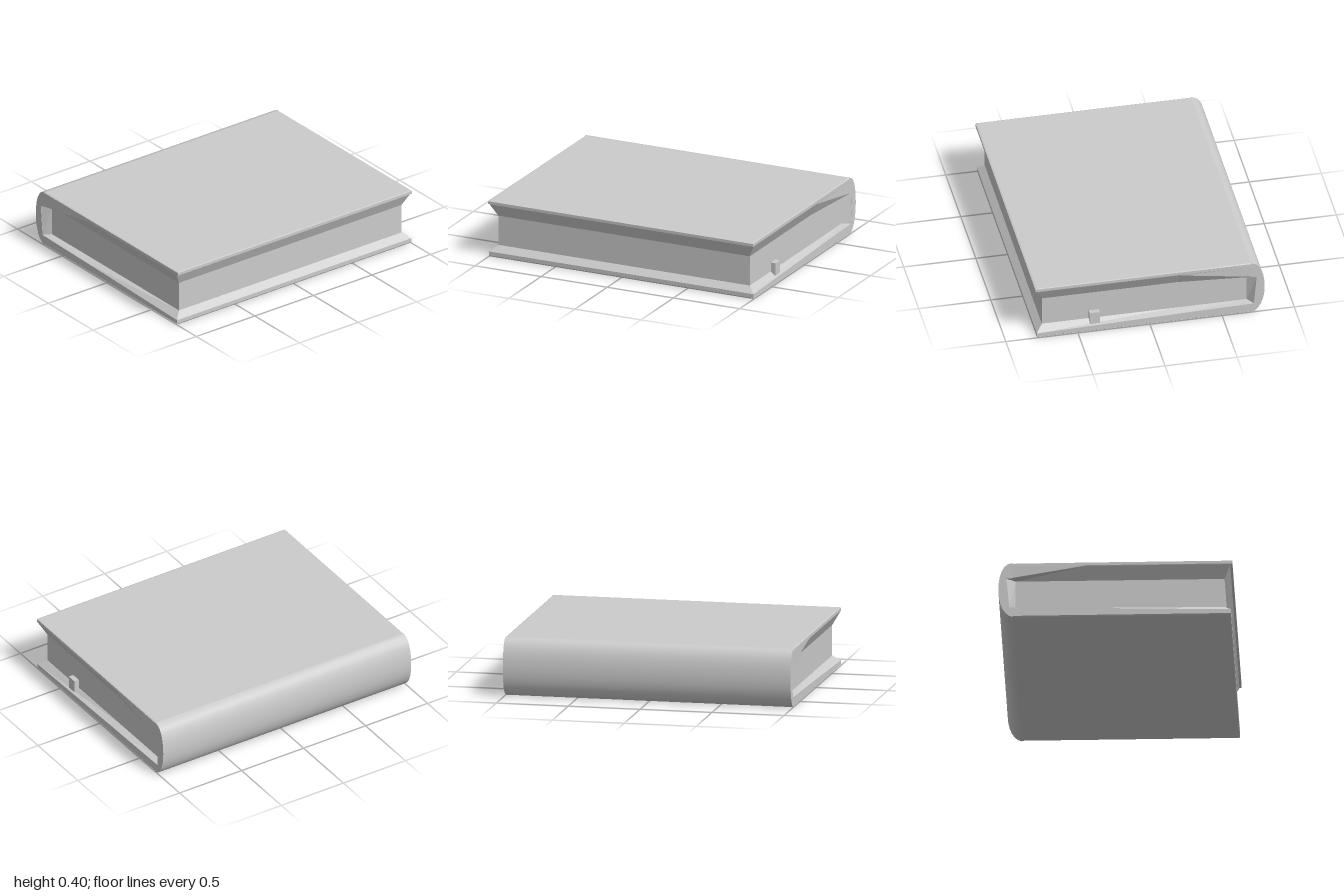
import * as THREE from 'three';
import { toCreasedNormals } from 'three/addons/utils/BufferGeometryUtils.js';

const flat = new THREE.MeshStandardMaterial({ color: 0xcccccc, flatShading: true });
const smooth = new THREE.MeshStandardMaterial({ color: 0xcccccc });

// Closed solid through equal rings of [x, y, z], listed from bottom to top
function loft(rings) {
  const n = rings[0].length, index = [];
  for (let r = 0; r < rings.length - 1; r++) {
    for (let i = 0; i < n; i++) {
      const a = r * n + i, b = r * n + (i + 1) % n;
      index.push(a, b, b + n, a, b + n, a + n);
    }
  }
  const top = (rings.length - 1) * n;
  for (let i = 1; i < n - 1; i++) {
    index.push(0, i + 1, i, top, top + i, top + i + 1);
  }
  const geometry = new THREE.BufferGeometry();
  geometry.setAttribute('position', new THREE.Float32BufferAttribute(rings.flat(2), 3));
  geometry.setIndex(index);
  const solid = geometry.toNonIndexed();
  solid.computeVertexNormals();
  return solid;
}

// Ring mirrored front to back: points [x, y] run along the front edge at +z
function ring(points, z) {
  const front = points.map(([x, y]) => [x, y, z]);
  const back = points.map(([x, y]) => [x, y, -z]).reverse();
  return [...front, ...back];
}

export function createModel() {
  const book = new THREE.Group();
  book.name = 'book';
  const add = (name, geometry, material = flat) => {
    const mesh = new THREE.Mesh(geometry, material);
    mesh.name = name;
    book.add(mesh);
    return mesh;
  };

  // Page block, inset from the covers
  add('pages', new THREE.BoxGeometry(1.42, 0.26, 1.9)).position.set(0.03, 0.18, 0);

  // Upper cover: bevelled underside that thickens toward the spine
  add('upperCover', loft([
    ring([[-0.68, 0.287], [-0.2, 0.287], [0.74, 0.287]], 0.95),
    ring([[-0.72, 0.29], [-0.2, 0.375], [0.78, 0.375]], 0.998),
    ring([[-0.7, 0.375], [-0.2, 0.38], [0.795, 0.38]], 1),
    ring([[-0.7, 0.398], [-0.2, 0.4], [0.795, 0.4]], 1),
    ring([[-0.7, 0.403], [-0.2, 0.403], [0.785, 0.403]], 0.992),
  ]));

  // Lower cover: thin edge rising to the page block
  add('lowerCover', loft([
    ring([[-0.7, 0], [-0.2, 0], [0.78, 0]], 0.99),
    ring([[-0.7, 0.008], [-0.2, 0.008], [0.785, 0.008]], 1),
    ring([[-0.72, 0.07], [-0.2, 0.06], [0.785, 0.036]], 1),
    ring([[-0.68, 0.077], [-0.2, 0.077], [0.74, 0.077]], 0.95),
  ]));

  // Rounded spine
  const profile = new THREE.Shape();
  profile.moveTo(-0.7, 0);
  profile.bezierCurveTo(-0.755, 0.01, -0.795, 0.09, -0.795, 0.2);
  profile.bezierCurveTo(-0.795, 0.31, -0.765, 0.403, -0.7, 0.403);
  profile.lineTo(-0.7, 0.29);
  profile.lineTo(-0.74, 0.287);
  profile.lineTo(-0.72, 0.07);
  profile.lineTo(-0.7, 0.07);
  const spine = new THREE.ExtrudeGeometry(profile, {
    depth: 2, bevelEnabled: false, curveSegments: 6,
  });
  spine.translate(0, 0, -1);
  add('spine', toCreasedNormals(spine, 0.6), smooth);

  // Lining sloping from the spine ends in to the pages
  const lining = (y, x) => [
    [-0.75, y, 0.998], [x, y, 0.998], [-0.68, y, 0.95],
    [-0.68, y, -0.95], [x, y, -0.998], [-0.75, y, -0.998],
  ];
  add('spineLining', loft([lining(0.07, -0.72), lining(0.288, -0.74)]));

  // Short tab at the back edge of the pages
  add('pageTab', new THREE.BoxGeometry(0.07, 0.1, 0.04)).position.set(0.38, 0.09, -0.965);

  return book;
}
